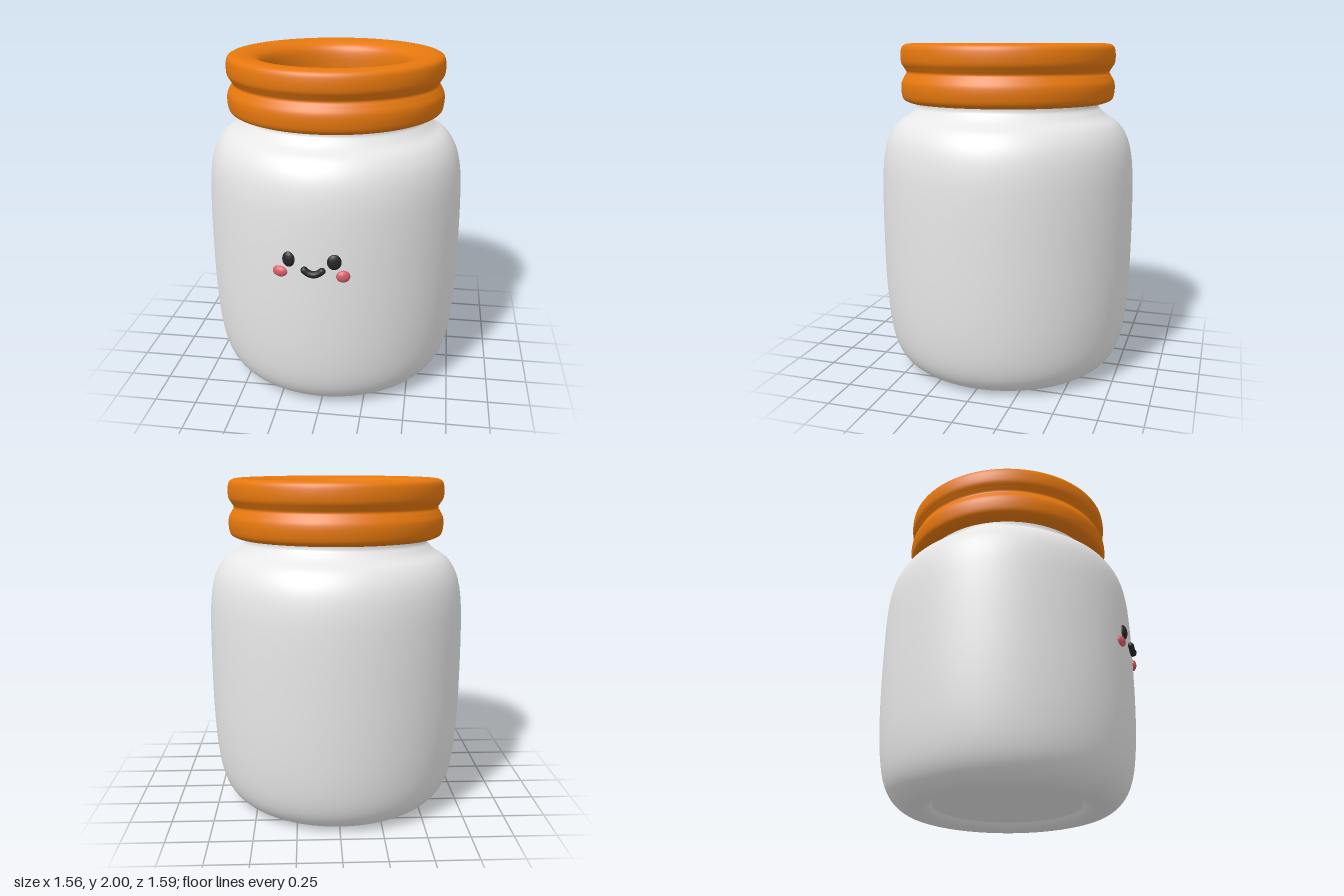
import * as THREE from 'three';

const CENTRE_Z = -0.016; // the jar sits slightly back so the raised face balances it
const RADIUS = 0.78;

const mat = (name, color) => {
  const m = new THREE.MeshStandardMaterial({ color });
  m.name = name;
  return m;
};

// Smooth curve through a few [radius, height] points
const smooth = (pts, n) =>
  new THREE.SplineCurve(pts.map(p => new THREE.Vector2(...p))).getPoints(n);
const straight = pts => pts.map(p => new THREE.Vector2(...p));

export function createModel() {
  const white = mat('jar white', 0xeeeeee);
  const orange = mat('lid orange', 0xe6780e);
  const black = mat('face black', 0x262628);
  const pink = mat('cheek pink', 0xd8606a);

  const model = new THREE.Group();
  model.name = 'jar';
  const round = new THREE.Group();
  round.position.z = CENTRE_Z;
  model.add(round);

  const add = (name, geometry, material) => {
    const mesh = new THREE.Mesh(geometry, material);
    mesh.name = name;
    round.add(mesh);
    return mesh;
  };
  const lathe = (name, points, material) =>
    add(name, new THREE.LatheGeometry(points, 96), material);

  // Jar: recessed base, rounded foot, straight wall, shoulder and flared neck
  lathe('baseRecess', straight([[0, 0.045], [0.44, 0.045]]), white);
  lathe('jarBody', smooth([
    [0.44, 0.045], [0.475, 0.015], [0.54, 0.0], [0.62, 0.02], [0.69, 0.085],
    [0.735, 0.19], [0.762, 0.36], [0.776, 0.6], [RADIUS, 0.9], [0.777, 1.15],
    [0.765, 1.32], [0.735, 1.44], [0.68, 1.525], [0.605, 1.575], [0.568, 1.61],
  ], 90), white);
  lathe('jarNeck', smooth([[0.568, 1.61], [0.555, 1.63], [0.555, 1.67]], 8), white);

  // Lid: two stacked rounded bands around a deep open well
  lathe('lidUnderside', straight([[0.5, 1.652], [0.6, 1.652]]), orange);
  lathe('lidRing', smooth([
    [0.6, 1.652], [0.638, 1.672], [0.65, 1.72], [0.648, 1.77], [0.63, 1.807],
    [0.617, 1.832], [0.63, 1.857], [0.648, 1.89], [0.65, 1.945], [0.638, 1.985],
    [0.6, 2.0], [0.54, 1.998], [0.49, 1.985], [0.452, 1.955], [0.436, 1.9],
    [0.434, 1.8], [0.434, 1.675],
  ], 90), orange);
  lathe('lidWellFloor', straight([[0.434, 1.675], [0, 1.675]]), orange);

  // Flattened buttons set into the curved wall
  const button = (name, x, y, rx, ry, depth, material) => {
    const mesh = add(name, new THREE.SphereGeometry(1, 24, 16), material);
    const a = Math.asin(x / RADIUS);
    mesh.position.set(x, y, RADIUS * Math.cos(a));
    mesh.rotation.y = a;
    mesh.scale.set(rx, ry, depth);
  };
  button('rightEye', -0.155, 0.99, 0.036, 0.045, 0.02, black);
  button('leftEye', 0.1, 0.99, 0.04, 0.045, 0.02, black);
  button('rightCheek', -0.206, 0.91, 0.044, 0.032, 0.024, pink);
  button('leftCheek', 0.148, 0.905, 0.039, 0.035, 0.024, pink);

  // Smile: a short thick curve with rounded ends
  const smile = [[-0.064, 0.94], [-0.044, 0.925], [-0.015, 0.917], [0.014, 0.925], [0.034, 0.94]]
    .map(([x, y]) => new THREE.Vector3(x, y, Math.sqrt(RADIUS ** 2 - x * x) + 0.012));
  add('smile', new THREE.TubeGeometry(new THREE.CatmullRomCurve3(smile), 24, 0.02, 12), black);
  for (const end of [smile[0], smile[4]]) {
    add('smileEnd', new THREE.SphereGeometry(0.02, 16, 12), black).position.copy(end);
  }

  return model;
}
